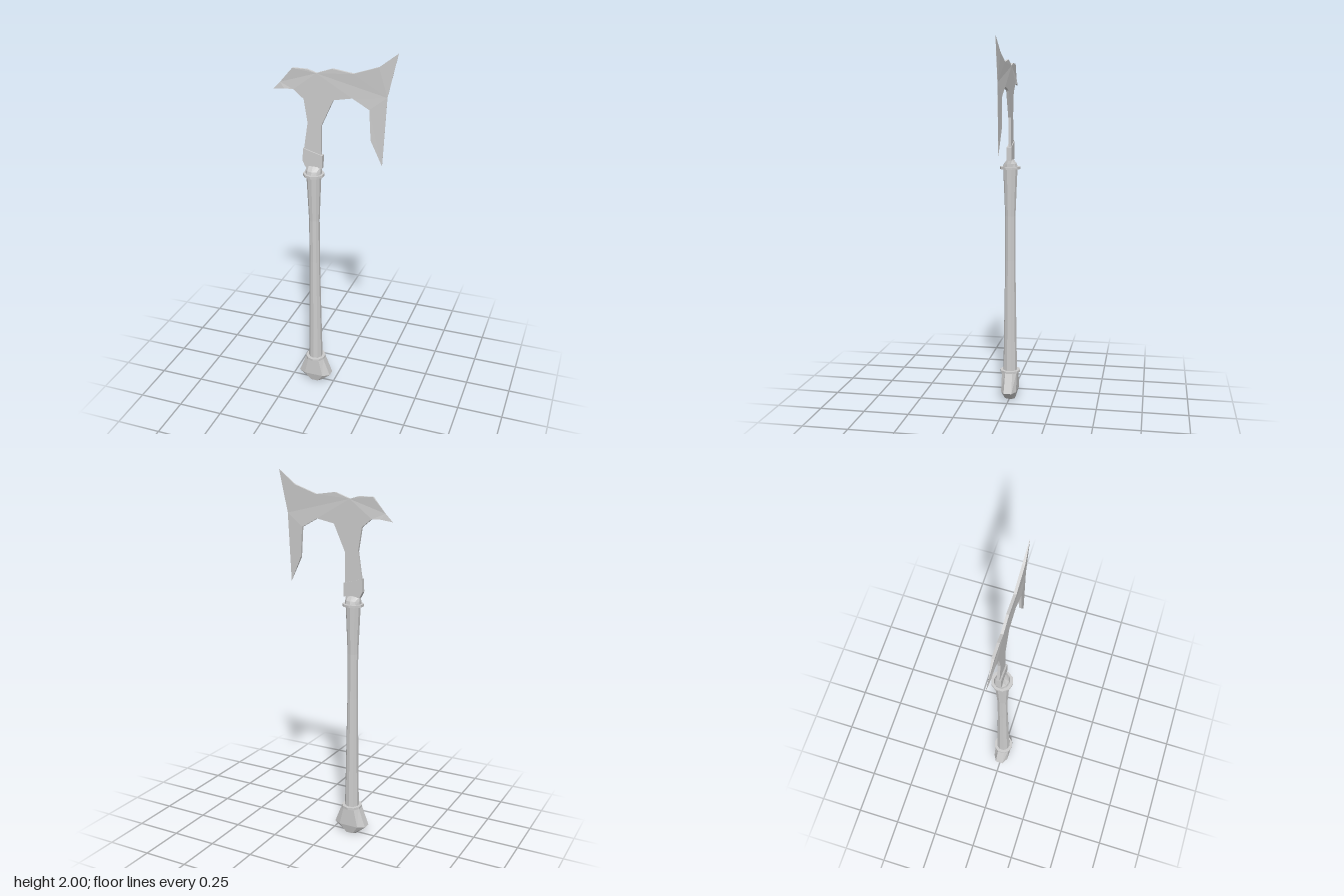
import * as THREE from 'three';

const AXIS_X = -0.11; // the handle's centre line

const material = new THREE.MeshStandardMaterial({ color: 0xcccccc, flatShading: true });

function part(name, geometry, x = 0, z = 0) {
  const mesh = new THREE.Mesh(geometry, material);
  mesh.name = name;
  mesh.position.set(x, 0, z);
  return mesh;
}

// Round part from [radius, y] pairs, bottom to top
function turned(profile) {
  return new THREE.LatheGeometry(profile.map(([r, y]) => new THREE.Vector2(r, y)), 10);
}

// Closed loft through rings of { y, points: [[x, z], ...] }, bottom to top
function loft(rings) {
  const n = rings[0].points.length;
  const positions = rings.flatMap(({ y, points }) => points.flatMap(([x, z]) => [x, y, z]));
  const index = [];
  for (let r = 0; r < rings.length - 1; r++) {
    for (let i = 0; i < n; i++) {
      const a = r * n + i, b = r * n + (i + 1) % n;
      index.push(a, a + n, b, b, a + n, b + n);
    }
  }
  const top = (rings.length - 1) * n;
  for (let i = 1; i < n - 1; i++) {
    index.push(0, i, i + 1, top, top + i + 1, top + i);
  }
  const geometry = new THREE.BufferGeometry();
  geometry.setAttribute('position', new THREE.Float32BufferAttribute(positions, 3));
  geometry.setIndex(index);
  const flat = geometry.toNonIndexed();
  flat.computeVertexNormals();
  return flat;
}

// Eight-sided ring: long along x, with flat ends
function octagon(y, xOuter, xInner, zInner, zOuter) {
  const quarter = [[xOuter, zInner], [xInner, zOuter]];
  const half = [...quarter, ...quarter.map(([x, z]) => [-x, z]).reverse()];
  return { y, points: [...half, ...half.map(([x, z]) => [-x, -z])] };
}

function ellipse(y, rx, rz, n = 10) {
  const points = [];
  for (let i = 0; i < n; i++) {
    const t = ((i + 0.5) / n) * Math.PI * 2;
    points.push([rx * Math.cos(t), rz * Math.sin(t)]);
  }
  return { y, points };
}

// Flat plate whose half thickness depends on the position in the outline
function plate(outline, halfThickness) {
  const shape = new THREE.Shape(outline.map(([x, y]) => new THREE.Vector2(x, y)));
  const geometry = new THREE.ExtrudeGeometry(shape, { depth: 2, bevelEnabled: false });
  const p = geometry.attributes.position;
  for (let i = 0; i < p.count; i++) {
    p.setZ(i, (p.getZ(i) - 1) * halfThickness(p.getX(i), p.getY(i)));
  }
  geometry.computeVertexNormals();
  return geometry;
}

export function createModel() {
  const axe = new THREE.Group();
  axe.name = 'axe';

  // Faceted pommel, wide in x and narrow in z
  axe.add(part('pommel', loft([
    octagon(0, 0.035, 0.02, 0.015, 0.03),
    octagon(0.05, 0.094, 0.055, 0.022, 0.043),
    octagon(0.16, 0.052, 0.03, 0.02, 0.042),
  ]), AXIS_X));

  // Waisted shaft
  axe.add(part('shaft', turned([
    [0, 0.15], [0.04, 0.15], [0.037, 0.3], [0.029, 0.8],
    [0.029, 1.05], [0.04, 1.315], [0, 1.315],
  ]), AXIS_X));

  // Rings at both ends of the shaft
  for (const [name, y] of [['lowerRing', 0.153], ['upperRing', 1.31]]) {
    axe.add(part(name, turned([
      [0, y], [0.057, y], [0.057, y + 0.013], [0, y + 0.013],
    ]), AXIS_X));
  }

  // Socket above the upper ring, pinched in z towards the blade
  axe.add(part('socket', loft([
    ellipse(1.32, 0.044, 0.042),
    ellipse(1.34, 0.044, 0.036),
    ellipse(1.365, 0.042, 0.014),
  ]), AXIS_X));

  // Sleeve round the blade's neck with a slanted top
  axe.add(part('sleeve', plate([
    [-0.153, 1.358], [-0.06, 1.358], [-0.058, 1.43], [-0.085, 1.437],
    [-0.165, 1.46], [-0.168, 1.39],
  ], () => 0.013), 0, -0.001));

  // Blade with hooked back spike, long beard and thin cutting edges
  const outline = [
    [-0.14, 1.38], [-0.066, 1.38], [-0.066, 1.59], [0, 1.735], [0.1, 1.755],
    [0.19, 1.705], [0.2, 1.545], [0.262, 1.41], [0.28, 1.775], [0.33, 2.0],
    [0.235, 1.925], [0.105, 1.88], [-0.005, 1.895], [-0.09, 1.865],
    [-0.14, 1.88], [-0.22, 1.88], [-0.29, 1.8], [-0.33, 1.76], [-0.265, 1.77],
    [-0.215, 1.77], [-0.16, 1.725], [-0.14, 1.6], [-0.162, 1.455],
  ];
  const edge = (x) => (x > 0.25 || x < -0.28 ? 0.0006 : 0.007);
  axe.add(part('blade', plate(outline, edge), 0, -0.003));

  return axe;
}
